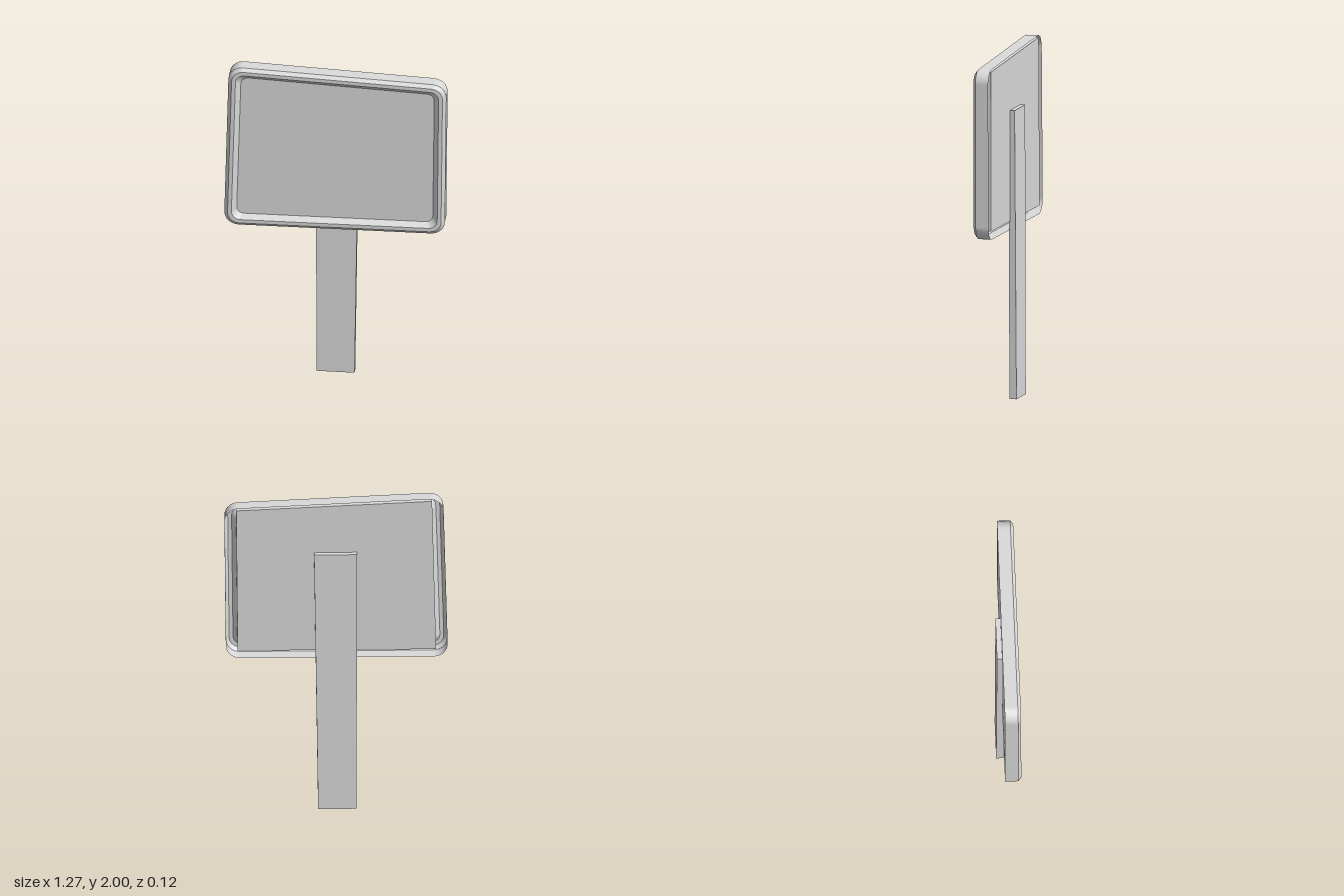
import * as THREE from 'three';

// Slightly crooked board corners, counter-clockwise: x, y, and inward direction
const CORNERS = [
  { x: 0.633, y: 1.955, sx: -1, sy: -1 },
  { x: -0.612, y: 2.0, sx: 1, sy: -1 },
  { x: -0.635, y: 0.971, sx: 1, sy: 1 },
  { x: 0.625, y: 0.978, sx: -1, sy: 1 },
];
const STEPS = 5;

// Rounded outline of the board, moved inward by inset
function outline(inset, radius) {
  const points = [];
  CORNERS.forEach((c, k) => {
    const cx = c.x + c.sx * (inset + radius);
    const cy = c.y + c.sy * (inset + radius);
    for (let i = 0; i <= STEPS; i++) {
      const a = (k + i / STEPS) * Math.PI / 2;
      points.push(new THREE.Vector2(cx + radius * Math.cos(a), cy + radius * Math.sin(a)));
    }
  });
  return points;
}

// Strip of faces joining two outlines, smooth around the corners
function band(from, to) {
  const a = outline(from.inset, from.radius);
  const b = outline(to.inset, to.radius);
  const n = a.length;
  const positions = [];
  const index = [];
  for (let i = 0; i < n; i++) {
    positions.push(a[i].x, a[i].y, from.z, b[i].x, b[i].y, to.z);
    const p = 2 * i;
    const q = 2 * ((i + 1) % n);
    index.push(p, q, q + 1, p, q + 1, p + 1);
  }
  const geometry = new THREE.BufferGeometry();
  geometry.setAttribute('position', new THREE.Float32BufferAttribute(positions, 3));
  geometry.setIndex(index);
  geometry.computeVertexNormals();
  return geometry;
}

export function createModel() {
  const group = new THREE.Group();
  const grey = new THREE.MeshStandardMaterial({ color: 0xdadada, side: THREE.DoubleSide });
  grey.name = 'plain grey';
  const add = (name, geometry) => {
    const mesh = new THREE.Mesh(geometry, grey);
    mesh.name = name;
    group.add(mesh);
  };

  // Frame: thin shell, open at the back, with a shallow lip down to the panel
  const rings = [
    { inset: 0, radius: 0.08, z: -0.03 },
    { inset: 0, radius: 0.08, z: 0.045 },
    { inset: 0.02, radius: 0.065, z: 0.062 },
    { inset: 0.042, radius: 0.05, z: 0.062 },
    { inset: 0.072, radius: 0.04, z: 0.033 },
  ];
  ['frameWall', 'frameChamfer', 'frameRim', 'frameLip'].forEach((name, i) =>
    add(name, band(rings[i], rings[i + 1])));

  // Panel: square-cornered slab set into the frame, flush with its back edge
  const slab = new THREE.Shape(CORNERS.map((c) =>
    new THREE.Vector2(c.x + c.sx * 0.066, c.y + c.sy * (c.sy < 0 ? 0.014 : 0.048))));
  const panel = new THREE.ExtrudeGeometry(slab, { depth: 0.064, bevelEnabled: false });
  add('panel', panel.translate(0, 0, -0.029));

  // Post: flat plank, a little wider and thinner at the top
  const post = new THREE.BoxGeometry(1, 1, 1);
  const pos = post.attributes.position;
  for (let i = 0; i < pos.count; i++) {
    const top = pos.getY(i) > 0;
    const right = pos.getX(i) > 0;
    const front = pos.getZ(i) > 0;
    const x = right ? (top ? 0.125 : 0.102) : (top ? -0.12 : -0.115);
    const z = front ? (top ? -0.025 : -0.02) : (top ? -0.057 : -0.062);
    pos.setXYZ(i, x, top ? 1.66 : 0, z);
  }
  post.computeVertexNormals();
  add('post', post);

  return group;
}
